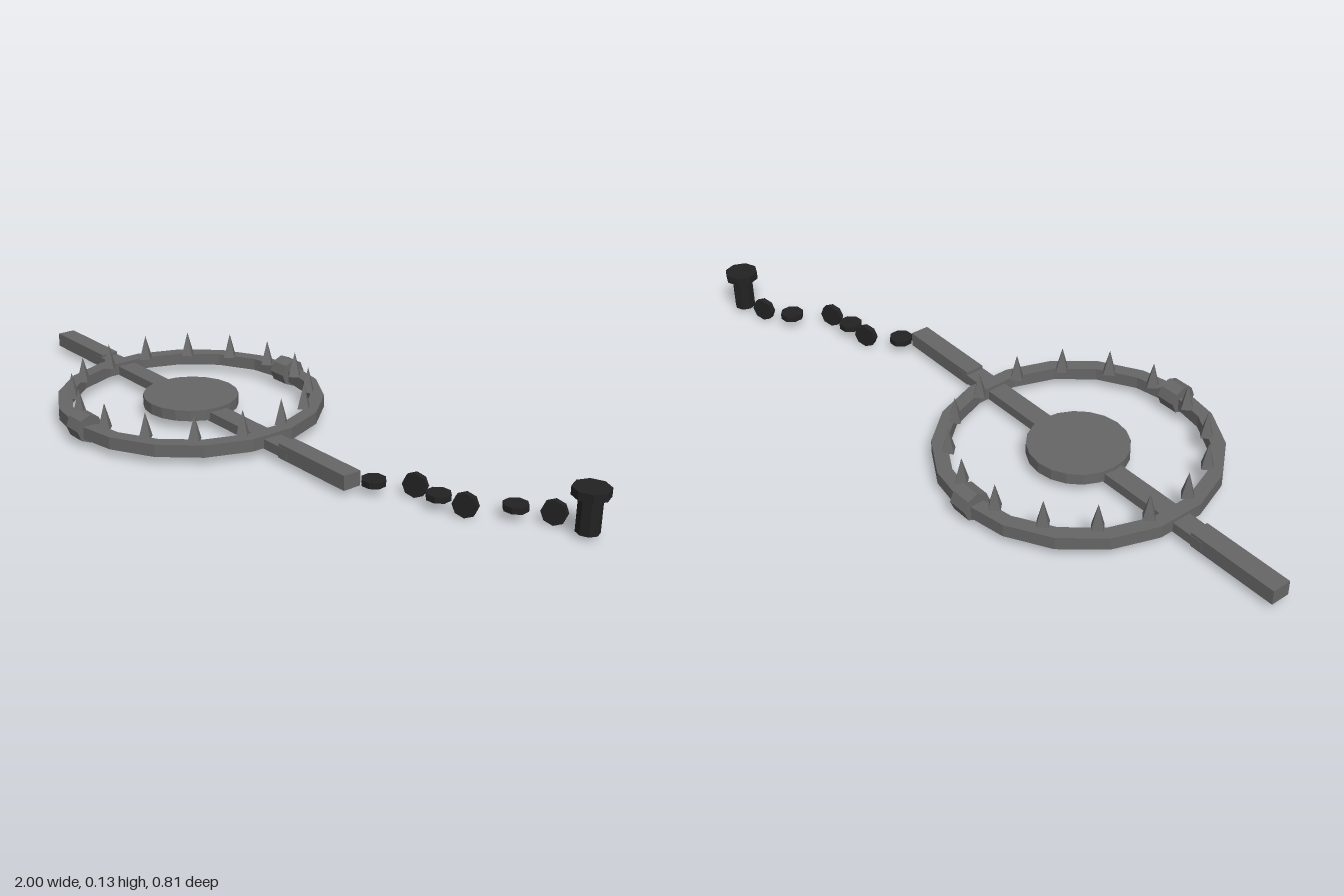
import * as THREE from 'three';

export function createModel() {
  const model = new THREE.Group();
  const steel = new THREE.MeshStandardMaterial({ color: 0x666666 });
  steel.name = 'steel grey';
  const iron = new THREE.MeshStandardMaterial({ color: 0x222222 });
  iron.name = 'dark iron';

  // Adds a faceted mesh
  function add(name, geometry, material, x, y, z, parent = model) {
    const flat = geometry.index ? geometry.toNonIndexed() : geometry;
    flat.computeVertexNormals();
    const mesh = new THREE.Mesh(flat, material);
    mesh.name = name;
    mesh.position.set(x, y, z);
    parent.add(mesh);
    return mesh;
  }

  // Jaw trap, centred on its own axis
  const trap = new THREE.Group();
  trap.name = 'trap';
  trap.position.x = -0.287;
  model.add(trap);

  // Flat ring formed by the two open jaws
  const section = [[0.35, 0.027], [0.391, 0.027], [0.391, 0.063], [0.35, 0.063], [0.35, 0.027]];
  add('jawRing', new THREE.LatheGeometry(section.map(([r, y]) => new THREE.Vector2(r, y)), 18),
    steel, 0, 0, 0, trap);

  // Sixteen four-sided teeth
  for (let i = 0; i < 16; i++) {
    const a = (i + 0.5) * Math.PI / 8;
    add('tooth', new THREE.ConeGeometry(0.023, 0.074, 4), steel,
      0.345 * Math.cos(a), 0.098, 0.345 * Math.sin(a), trap);
  }

  // Hinge barrels and spring arms on both sides
  for (const s of [-1, 1]) {
    const hinge = new THREE.CylinderGeometry(0.041, 0.041, 0.06, 8).rotateZ(Math.PI / 2);
    add('hinge', hinge, steel, 0, 0.052, s * 0.364, trap);
    add('springArm', new THREE.BoxGeometry(0.268, 0.042, 0.056), steel, s * 0.579, 0.041, 0, trap);
  }

  // Base bar and pressure plate
  add('baseBar', new THREE.BoxGeometry(0.965, 0.028, 0.058), steel, 0, 0.039, 0, trap);
  add('pressurePlate', new THREE.CylinderGeometry(0.14, 0.14, 0.032, 20), steel, 0, 0.047, 0, trap);

  // Chain: flat links alternate with upright ones
  const links = [[0.455, -0.048], [0.536, -0.118], [0.617, -0.12],
    [0.697, -0.134], [0.778, -0.227], [0.859, -0.277]];
  links.forEach(([x, z], i) => {
    const link = new THREE.CylinderGeometry(0.034, 0.034, 0.017, 8);
    if (i % 2) link.rotateX(Math.PI / 2);
    link.rotateY(0.47);
    add('chainLink', link, iron, x, 0.037, z);
  });

  // Anchor stake
  add('stakeShaft', new THREE.CylinderGeometry(0.031, 0.031, 0.1, 8), iron, 0.951, 0.065, -0.292);
  add('stakeHead', new THREE.CylinderGeometry(0.049, 0.049, 0.023, 8), iron, 0.951, 0.124, -0.292);

  return model;
}
